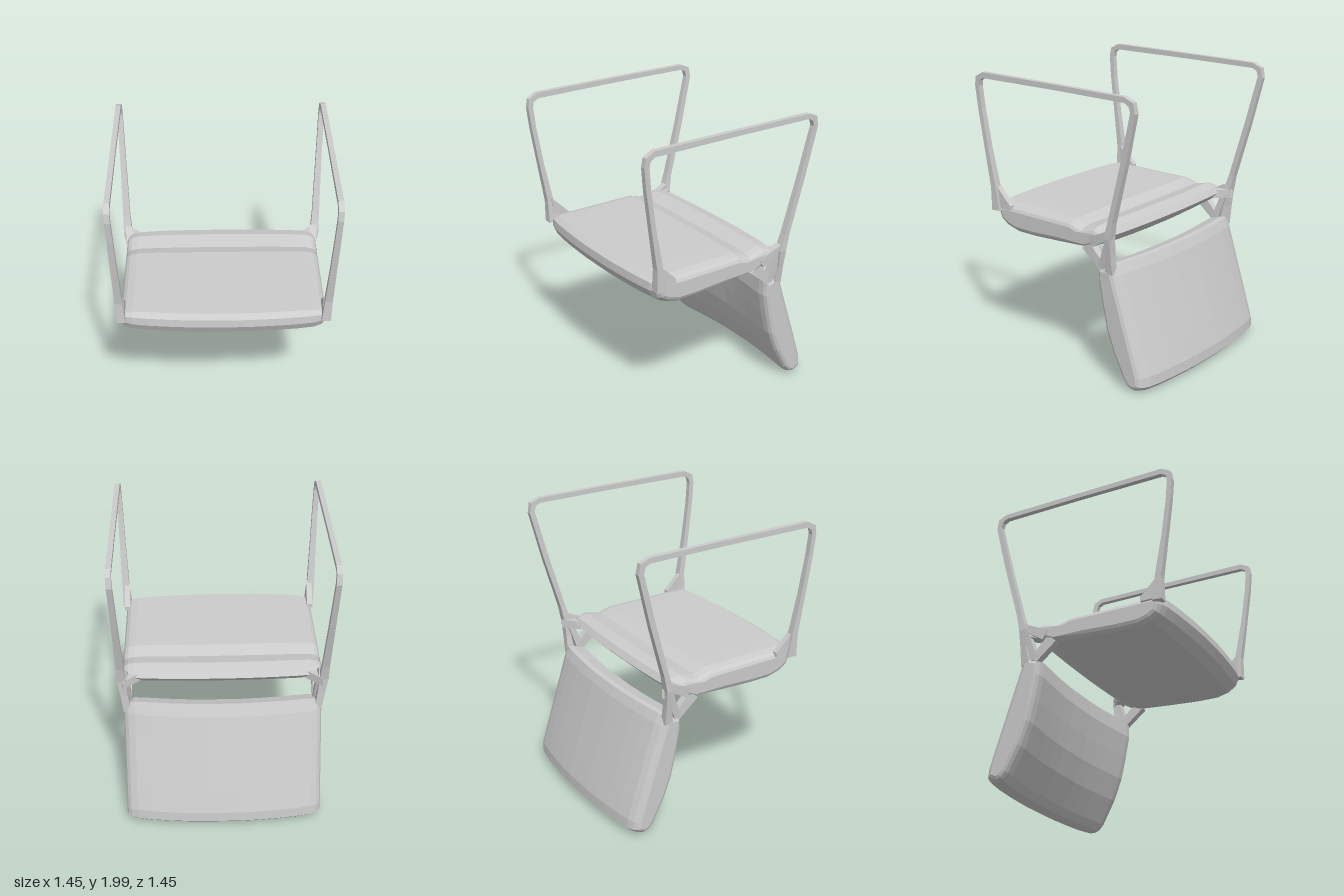
import * as THREE from 'three';

const material = new THREE.MeshStandardMaterial({ color: 0xcccccc, flatShading: true, side: THREE.DoubleSide });

// Skin a list of equal-length rings of [x, y, z] and cap both ends.
function loft(name, rings) {
  const n = rings[0].length;
  const pos = rings.flat(2);
  const idx = [];
  for (let r = 0; r < rings.length - 1; r++) {
    for (let i = 0; i < n; i++) {
      const a = r * n + i, b = r * n + (i + 1) % n;
      idx.push(a, b, b + n, a, b + n, a + n);
    }
  }
  const cap = (r, flip) => {
    const c = pos.length / 3;
    for (let k = 0; k < 3; k++) pos.push(rings[r].reduce((s, p) => s + p[k], 0) / n);
    for (let i = 0; i < n; i++) {
      const a = r * n + i, b = r * n + (i + 1) % n;
      idx.push(c, flip ? b : a, flip ? a : b);
    }
  };
  cap(0, true);
  cap(rings.length - 1, false);
  // Signed volume decides whether the faces need turning outward
  const v = (i) => new THREE.Vector3().fromArray(pos, i * 3);
  let volume = 0;
  for (let i = 0; i < idx.length; i += 3) volume += v(idx[i]).dot(v(idx[i + 1]).cross(v(idx[i + 2])));
  if (volume < 0) idx.reverse();
  const g = new THREE.BufferGeometry();
  g.setAttribute('position', new THREE.Float32BufferAttribute(pos, 3));
  g.setIndex(idx);
  const flat = g.toNonIndexed();
  flat.computeVertexNormals();
  const mesh = new THREE.Mesh(flat, material);
  mesh.name = name;
  return mesh;
}

// Move each [z, y] corner of a clockwise or anticlockwise outline inward.
function inset(profile, d) {
  const n = profile.length;
  let area = 0;
  profile.forEach((p, i) => {
    const q = profile[(i + 1) % n];
    area += p[0] * q[1] - q[0] * p[1];
  });
  const s = Math.sign(area);
  return profile.map((p, i) => {
    const a = profile[(i + n - 1) % n], b = profile[(i + 1) % n];
    const tz = b[0] - a[0], ty = b[1] - a[1], l = Math.hypot(tz, ty);
    return [p[0] - s * ty / l * d, p[1] + s * tz / l * d];
  });
}

// Cushion swept across the width: rounded ends, bent by a rule.
function cushion(name, profile, bend) {
  const half = [[0.12, 0], [0.25, 0], [0.38, 0], [0.5, 0], [0.6, 0.003], [0.645, 0.014], [0.667, 0.03], [0.677, 0.05]];
  const stations = [...half.map(([x, d]) => [-x, d]).reverse(), ...half];
  return loft(name, stations.map(([x, d]) =>
    inset(profile, d).map(([z, y]) => [x, ...bend(z, y, (x / 0.66) ** 2)])));
}

// Flat bar following [z, y, x, width, xThickness] points, on one side.
function bar(name, path, side) {
  return loft(name, path.map(([z, y, x, w, t], i) => {
    const a = path[Math.max(i - 1, 0)], b = path[Math.min(i + 1, path.length - 1)];
    const l = Math.hypot(b[0] - a[0], b[1] - a[1]);
    const nz = -(b[1] - a[1]) / l * w / 2, ny = (b[0] - a[0]) / l * w / 2;
    return [[-1, -1], [1, -1], [1, 1], [-1, 1]].map(([u, s]) =>
      [side * (x + u * t / 2), y + s * ny, z + s * nz]);
  }));
}

export function createModel() {
  const model = new THREE.Group();
  model.name = 'overturnedChair';

  // Seat, underside up, with a shallow valley near the rear lip
  model.add(cushion('seat', [
    [0.62, 1.1], [0.3, 1.1], [-0.06, 1.1], [-0.16, 1.07], [-0.28, 1.098], [-0.36, 1.08], [-0.39, 1.04],
    [-0.34, 0.99], [-0.27, 0.94], [-0.2, 0.91], [0.05, 0.893], [0.3, 0.88], [0.47, 0.88], [0.57, 0.905],
    [0.635, 0.96], [0.665, 1.02], [0.66, 1.075],
  ], (z, y, t) => [y + (y < 0.95 ? 0.015 * t : 0), z * (1 - 0.07 * t)]));

  // Backrest, hanging down and curved across its width
  model.add(cushion('backrest', [
    [-0.34, 0.83], [-0.335, 0.72], [-0.365, 0.56], [-0.40, 0.4], [-0.46, 0.24], [-0.55, 0.07], [-0.59, 0.025],
    [-0.64, 0.008], [-0.69, 0.025], [-0.725, 0.06], [-0.72, 0.13], [-0.67, 0.29], [-0.615, 0.46],
    [-0.55, 0.66], [-0.505, 0.8], [-0.475, 0.862], [-0.44, 0.865],
  ], (z, y, t) => [y, z + 0.06 * t]));

  for (const side of [1, -1]) {
    const frame = new THREE.Group();
    frame.name = side > 0 ? 'leftFrame' : 'rightFrame';

    // Closed leg loop: front leg, floor runner, rear leg down to the backrest
    frame.add(bar('legLoop', [
      [0.595, 1.04, 0.675, 0.07, 0.06], [0.607, 1.2, 0.683, 0.045, 0.05], [0.655, 1.48, 0.692, 0.034, 0.042],
      [0.695, 1.75, 0.7, 0.034, 0.038], [0.709, 1.9, 0.705, 0.036, 0.036], [0.7, 1.95, 0.707, 0.042, 0.036],
      [0.65, 1.978, 0.708, 0.04, 0.036], [0, 1.98, 0.708, 0.036, 0.034], [-0.56, 1.978, 0.708, 0.036, 0.036],
      [-0.61, 1.955, 0.707, 0.044, 0.036], [-0.622, 1.9, 0.705, 0.038, 0.036], [-0.535, 1.55, 0.695, 0.04, 0.04],
      [-0.43, 1.17, 0.685, 0.036, 0.05], [-0.4, 1.05, 0.68, 0.05, 0.06], [-0.4, 0.93, 0.668, 0.04, 0.05],
      [-0.39, 0.8, 0.65, 0.06, 0.05],
    ], side));

    // Gusset at the foot of the front leg
    frame.add(loft('frontGusset', [0.65, 0.69].map((x) =>
      [[1.06, 0.6], [1.22, 0.6], [1.09, 0.47], [1.06, 0.47]].map(([y, z]) => [side * x, y, z]))));

    // Triangular bracket between seat, rear leg and backrest
    frame.add(bar('lowerStrut', [[-0.19, 0.96, 0.645, 0.08, 0.05], [-0.33, 0.83, 0.645, 0.06, 0.05]], side));
    frame.add(bar('upperStrut', [[-0.24, 0.99, 0.655, 0.07, 0.05], [-0.4, 1.075, 0.67, 0.05, 0.05]], side));
    frame.add(bar('rearStrut', [[-0.39, 1.03, 0.66, 0.04, 0.06], [-0.32, 0.83, 0.645, 0.05, 0.05]], side));

    // Small web tying the leg to the seat's rear corner
    frame.add(loft('rearWeb', [1.0, 1.06].map((y) =>
      [[0.56, -0.34], [0.67, -0.44], [0.69, -0.36], [0.62, -0.31]].map(([x, z]) => [side * x, y, z]))));
    model.add(frame);
  }
  return model;
}
